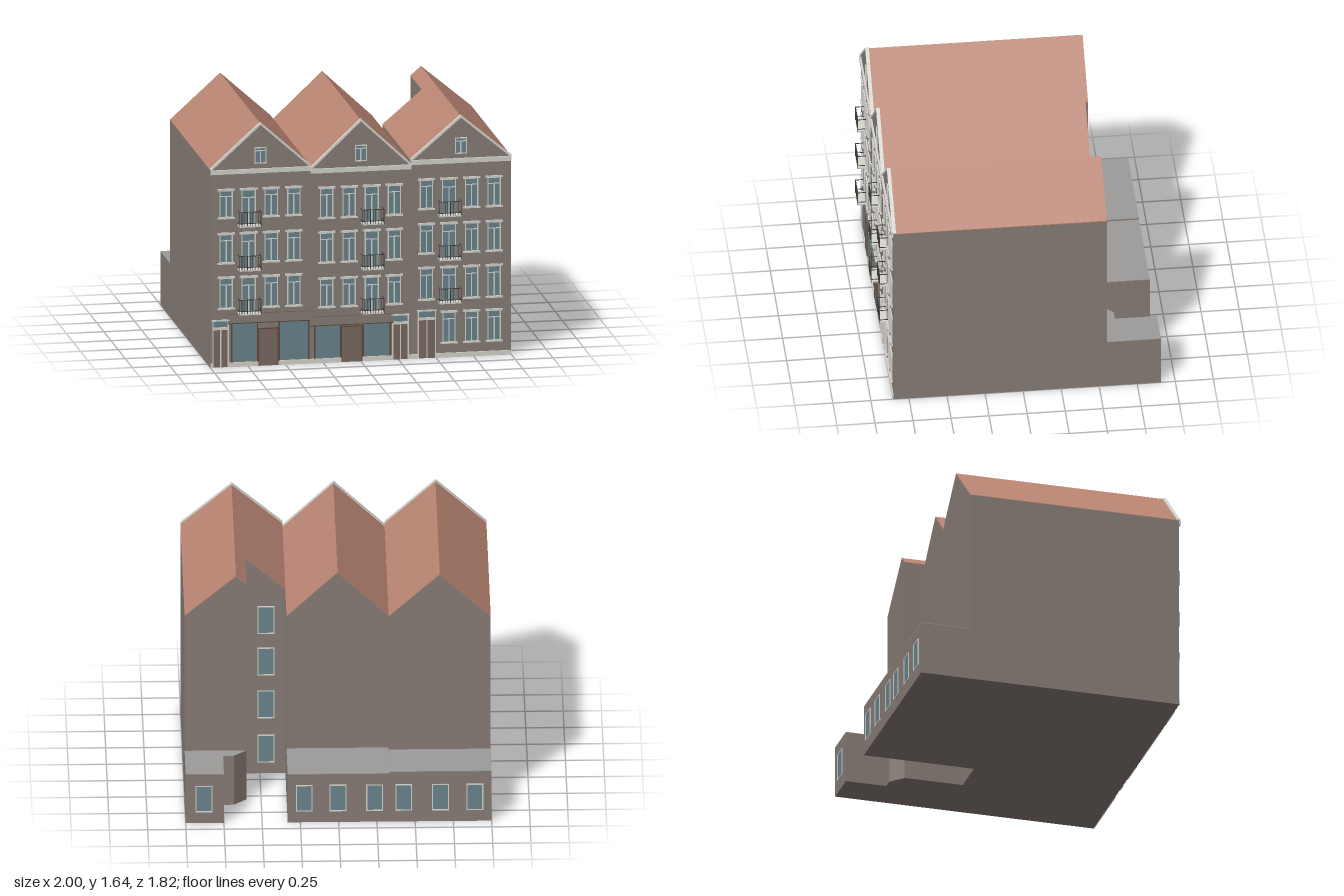
import * as THREE from 'three';

const mat = (name, color) => Object.assign(new THREE.MeshStandardMaterial({ color }), { name });

export function createModel() {
  const M = {
    wall: mat('brick wall', 0x887d76),
    tile: mat('roof tile', 0xb98573),
    flat: mat('flat roof', 0x9d9b99),
    trim: mat('light trim', 0xd6d4ce),
    glass: mat('window glass', 0x6a848c),
    wood: mat('shop wood', 0x7b6a61),
    frame: mat('dark shop frame', 0x5e4a40),
    iron: mat('iron', 0x3c3a39),
  };
  const root = new THREE.Group();
  root.name = 'rowHouses';
  const F = 0.85; // facade plane

  const group = (name, parent = root) => {
    const g = new THREE.Group();
    g.name = name;
    parent.add(g);
    return g;
  };
  const add = (parent, name, geo, m) => {
    const mesh = new THREE.Mesh(geo, m);
    mesh.name = name;
    parent.add(mesh);
    return mesh;
  };
  // Box given by its limits
  const box = (parent, name, m, x0, x1, y0, y1, z0, z1) =>
    add(parent, name, new THREE.BoxGeometry(x1 - x0, y1 - y0, z1 - z0), m)
      .position.set((x0 + x1) / 2, (y0 + y1) / 2, (z0 + z1) / 2);
  // Cross-section in x,y pushed along z
  const prism = (parent, name, m, pts, z0, z1) => {
    const shape = new THREE.Shape(pts.map(p => new THREE.Vector2(...p)));
    const geo = new THREE.ExtrudeGeometry(shape, { depth: z1 - z0, bevelEnabled: false });
    add(parent, name, geo, m).position.z = z0;
  };
  // Floor plan in x,z pushed upwards
  const plan = (parent, name, m, pts, y0, y1) => {
    const shape = new THREE.Shape(pts.map(([x, z]) => new THREE.Vector2(x, -z)));
    const geo = new THREE.ExtrudeGeometry(shape, { depth: y1 - y0, bevelEnabled: false });
    geo.rotateX(-Math.PI / 2);
    add(parent, name, geo, m).position.y = y0;
  };
  // Sloping band between two points, with its top edge on the line
  const slope = (parent, name, m, [xa, ya], [xb, yb], t, z0, z1) =>
    prism(parent, name, m, [[xa, ya - t], [xb, yb - t], [xb, yb], [xa, ya]], z0, z1);

  // Window with glass, sashes, and optional sill and lintel, facing +z at z = 0
  const windowAt = (parent, name, x, y0, y1, z, o = {}) => {
    const { w = 0.088, ledges = true, transom = true } = o;
    const g = group(name, parent);
    g.position.set(x, 0, z);
    const h = w / 2, b = 0.007, e = h + 0.013;
    box(g, 'glass', M.glass, -h, h, y0, y1, -0.002, 0.002);
    for (const s of [-1, 1]) box(g, 'jamb', M.trim, s * (h - b / 2) - b / 2, s * (h - b / 2) + b / 2, y0, y1, 0, 0.006);
    box(g, 'head', M.trim, -h + b, h - b, y1 - b, y1, 0, 0.006);
    box(g, 'foot', M.trim, -h + b, h - b, y0, y0 + b, 0, 0.006);
    if (transom) {
      const t = y1 - (y1 - y0) * 0.24;
      box(g, 'transom', M.trim, -h + b, h - b, t, t + 0.006, 0, 0.006);
      box(g, 'mullion', M.trim, -0.004, 0.004, y0 + b, t, 0, 0.006);
    }
    if (ledges) {
      box(g, 'lintel', M.trim, -e, e, y1 - 0.004, y1 + 0.01, 0, 0.009);
      if (!o.balcony) box(g, 'sill', M.trim, -e, e, y0 - 0.008, y0 + 0.003, 0, 0.011);
    }
    return g;
  };

  const balcony = (parent, x, y) => {
    const g = group('balcony', parent);
    const w = 0.072, z1 = 0.908;
    box(g, 'slab', M.trim, x - w, x + w, y - 0.004, y + 0.006, F, z1);
    for (const yy of [y + 0.02, y + 0.096]) {
      box(g, 'frontRail', M.iron, x - w, x + w, yy, yy + 0.004, z1 - 0.004, z1);
      for (const s of [-1, 1]) box(g, 'sideRail', M.iron, x + s * w - 0.002, x + s * w + 0.002, yy, yy + 0.004, F, z1);
    }
    for (let i = 0; i <= 8; i++) {
      const bx = x - w + (2 * w * i) / 8;
      box(g, 'baluster', M.iron, bx - 0.0018, bx + 0.0018, y, y + 0.1, z1 - 0.004, z1);
    }
  };

  // Double front door with glazed transom
  const door = (parent, x0, x1, top) => {
    const g = group('houseDoor', parent), m = (x0 + x1) / 2, b = 0.008;
    box(g, 'leaves', M.wood, x0, x1, 0, top - 0.06, F - 0.002, F + 0.002);
    box(g, 'transomGlass', M.glass, x0, x1, top - 0.06, top, F - 0.002, F + 0.002);
    for (const x of [x0, m - b / 2, x1 - b]) box(g, 'post', M.trim, x, x + b, 0, top - 0.06, F, F + 0.006);
    for (const x of [x0, x1 - b]) box(g, 'transomPost', M.trim, x, x + b, top - 0.06, top, F, F + 0.006);
    box(g, 'middleRail', M.trim, x0, x1, top - 0.068, top - 0.05, F, F + 0.007);
    box(g, 'topRail', M.trim, x0 - 0.004, x1 + 0.004, top - 0.01, top, F, F + 0.008);
  };

  // Shop front: two panes, a door and a fascia board
  const shop = (parent, x0, x1, y0, y1, panes, [d0, d1, dTop]) => {
    const g = group('shopFront', parent);
    box(g, 'fascia', M.wall, x0, x1, y0, y1, F, F + 0.008);
    box(g, 'fasciaMoulding', M.frame, x0, x1, y0 - 0.006, y0, F, F + 0.009);
    box(g, 'fasciaCap', M.wood, x0, x1, y1 - 0.004, y1 + 0.002, F, F + 0.011);
    for (const [a, b] of panes) {
      box(g, 'pane', M.glass, a, b, 0.035, y0 - 0.006, F - 0.002, F + 0.003);
      for (const x of [a, b]) box(g, 'paneFrame', M.frame, x - 0.004, x + 0.004, 0.03, y0 - 0.006, F, F + 0.006);
    }
    box(g, 'shopDoor', M.wood, d0, d1, 0, dTop, F, F + 0.006);
    for (const x of [d0, d1]) box(g, 'doorPost', M.frame, x - 0.003, x + 0.003, 0, dTop, F, F + 0.007);
    box(g, 'doorHead', M.frame, d0, d1, dTop - 0.004, dTop + 0.003, F, F + 0.007);
  };

  const T = 1 / 3;
  const houses = [
    { name: 'leftHouse', x0: -1, x1: -T, rx: -0.667, eave: 1.328, ridge: 1.628, back: -0.57, cols: [-0.896, -0.746, -0.596, -0.446],
      french: 1, rows: [[0.395, 0.6], [0.7, 0.895], [1.005, 1.19]], rails: [0.36, 0.655, 0.95], gable: 1.36, cornice: [1.298, 1.327] },
    { name: 'middleHouse', x0: -T, x1: T, rx: 0, eave: 1.308, ridge: 1.622, back: -0.515, cols: [-0.228, -0.078, 0.072, 0.222],
      french: 2, rows: [[0.375, 0.565], [0.675, 0.875], [0.975, 1.175]], rails: [0.33, 0.626, 0.93], gable: 1.345, cornice: [1.278, 1.308] },
    { name: 'rightHouse', x0: T, x1: 1, rx: 0.665, eave: 1.335, ridge: 1.617, back: -0.55, cols: [0.436, 0.586, 0.736, 0.886],
      french: 1, rows: [[0.395, 0.605], [0.705, 0.9], [1.005, 1.2]], rails: [0.375, 0.665, 0.96], gable: 1.365, cornice: [1.305, 1.336] },
  ];
  const yard = { x: 0.595, z: -0.155 }; // courtyard cut into the right house

  houses.forEach((h, i) => {
    const g = group(h.name);
    const L = [h.x0, h.eave], R = [h.x1, h.eave], P = [h.rx, h.ridge], t = 0.008;
    const low = ([x, y]) => [x, y - t / 2];
    const front = i === 2 ? yard.z : h.back;

    // Walls and pitched roof
    prism(g, 'walls', M.wall, [[h.x0, 0], [h.x1, 0], low(R), low(P), low(L)], front, F);
    slope(g, 'leftRoofSlope', M.tile, L, P, t, front, F - 0.005);
    slope(g, 'rightRoofSlope', M.tile, P, R, t, h.back, F - 0.005);
    if (i === 2) {
      const cut = [yard.x, h.eave + (h.ridge - h.eave) * (yard.x - h.x0) / (h.rx - h.x0)];
      prism(g, 'rearWing', M.wall, [[yard.x, 0], [h.x1, 0], low(R), low(P), low(cut)], h.back, front);
      slope(g, 'rearRoofSlope', M.tile, cut, P, t, h.back, front);
    }

    // Gable coping and cornice
    const up = ([x, y]) => [x, y + 0.009];
    slope(g, 'leftCoping', M.trim, up(L), up(P), 0.018, F - 0.015, F + 0.009);
    slope(g, 'rightCoping', M.trim, up(P), up(R), 0.018, F - 0.015, F + 0.009);
    box(g, 'cornice', M.trim, h.x0, h.x1, ...h.cornice, F, F + 0.013);

    // Upper windows, French doors and balconies
    h.rows.forEach(([y0, y1], r) => {
      h.cols.forEach((x, c) => {
        const isDoor = c === h.french;
        windowAt(g, isDoor ? 'frenchDoor' : 'window', x, isDoor ? h.rails[r] : y0, y1, F,
          { balcony: isDoor, w: isDoor ? 0.094 : 0.088 });
      });
      balcony(g, h.cols[h.french], h.rails[r]);
    });
    windowAt(g, 'gableWindow', h.rx, h.gable, h.gable + 0.11, F, { w: 0.08, ledges: false });
  });
  const [left, middle, right] = root.children;

  // Ground floor
  door(left, -0.987, -0.878, 0.32);
  shop(left, -0.885, -0.338, 0.295, 0.358, [[-0.858, -0.687], [-0.543, -0.347]], [-0.68, -0.552, 0.25]);
  shop(middle, -0.333, 0.215, 0.255, 0.315, [[-0.307, -0.136], [0.016, 0.195]], [-0.128, 0.008, 0.24]);
  door(middle, 0.208, 0.318, 0.305);
  door(right, 0.378, 0.5, 0.325);
  for (const x of houses[2].cols.slice(1)) windowAt(right, 'window', x, 0.1, 0.305, F);
  for (const [a, b] of [[-1, -0.987], [-0.878, -0.683], [-0.549, -0.131], [0.011, 0.208], [0.318, 0.378], [0.5, 1]])
    box(root, 'plinth', M.trim, a, b, 0, 0.03, F, F + 0.008);

  // Rear annexes with flat roofs
  const E = -0.905;
  const annex = (parent, pts, top) => {
    plan(parent, 'annexWalls', M.wall, pts, 0, top - 0.004);
    plan(parent, 'annexRoof', M.flat, pts, top - 0.004, top);
  };
  annex(left, [[-1, -0.57], [-T, -0.57], [-T, E], [-1, E]], 0.362);
  annex(middle, [[-T, -0.515], [T, -0.515], [T, E], [-T, E]], 0.35);
  annex(right, [[yard.x, -0.55], [1, -0.55], [1, E], [0.75, E], [0.75, -0.63], [0.68, -0.63]], 0.355);

  // Rear windows
  const rear = (x, y0, y1, z) => {
    windowAt(root, 'rearWindow', x, y0, y1, z, { w: 0.11, ledges: false, transom: false }).rotation.y = Math.PI;
  };
  for (const x of [-0.89, -0.665, -0.425, -0.235, 0.005, 0.225, 0.88]) rear(x, 0.08, 0.27, E);
  for (const y of [0.08, 0.4, 0.71, 1.01]) rear(0.46, y, y + 0.2, yard.z);

  return root;
}
